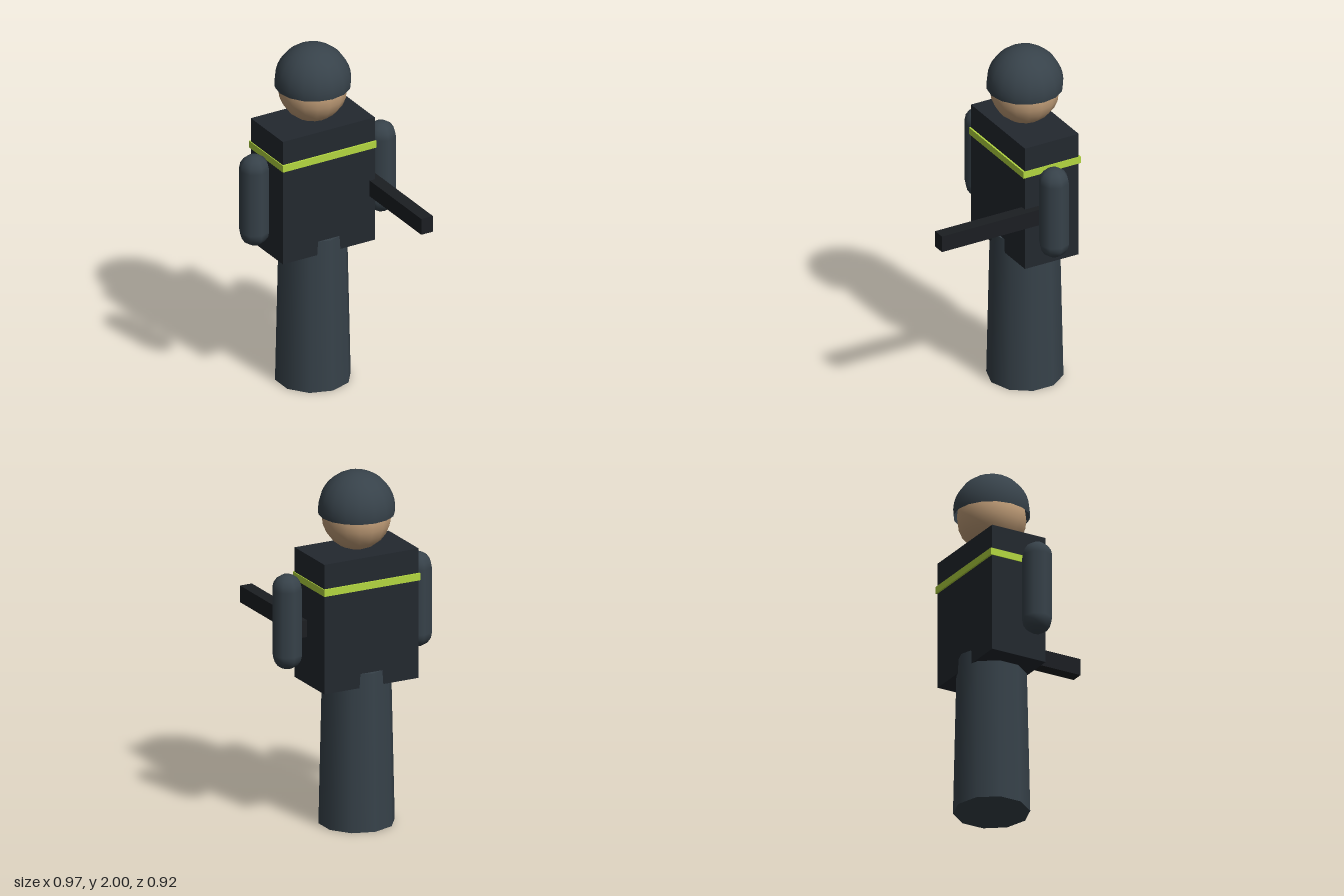
import * as THREE from 'three';

export function createModel() {
  const model = new THREE.Group();
  const mat = (color, side = THREE.FrontSide) => new THREE.MeshStandardMaterial({ color, side });
  const uniform = mat(0x37424a);
  const vest = mat(0x23282f);
  const skin = mat(0xc4a07a);
  const lime = mat(0xb4d740);
  const dark = mat(0x1b1e22);
  const bodyZ = -0.25;

  const add = (name, geometry, material, x, y, z) => {
    const mesh = new THREE.Mesh(geometry, material);
    mesh.name = name;
    mesh.position.set(x, y, z);
    model.add(mesh);
    return mesh;
  };

  // Legs as one tapered ten-sided column, reaching up into the torso
  add('legs', new THREE.CylinderGeometry(0.19, 0.21, 0.9, 10), uniform, 0, 0.45, bodyZ);

  // Torso with a bright band around the chest
  add('torso', new THREE.BoxGeometry(0.58, 0.74, 0.336), vest, 0, 1.19, bodyZ);
  add('chestBand', new THREE.BoxGeometry(0.59, 0.04, 0.357), lime, 0, 1.4, bodyZ);

  // Head and open half-dome helmet
  add('head', new THREE.SphereGeometry(0.19, 16, 12), skin, 0, 1.75, bodyZ);
  add('helmet', new THREE.SphereGeometry(0.21, 16, 10, 0, Math.PI * 2, 0, Math.PI * 0.545),
    mat(0x37424a, THREE.DoubleSide), 0, 1.79, bodyZ);

  // Arms
  for (const [name, side] of [['leftArm', 1], ['rightArm', -1]]) {
    add(name, new THREE.CapsuleGeometry(0.084, 0.37, 4, 8), uniform, side * 0.4, 1.19, -0.2);
  }

  // Long bar held forward beside the left arm
  add('heldBar', new THREE.BoxGeometry(0.073, 0.095, 0.685), dark, 0.294, 1.138, 0.118);

  return model;
}
